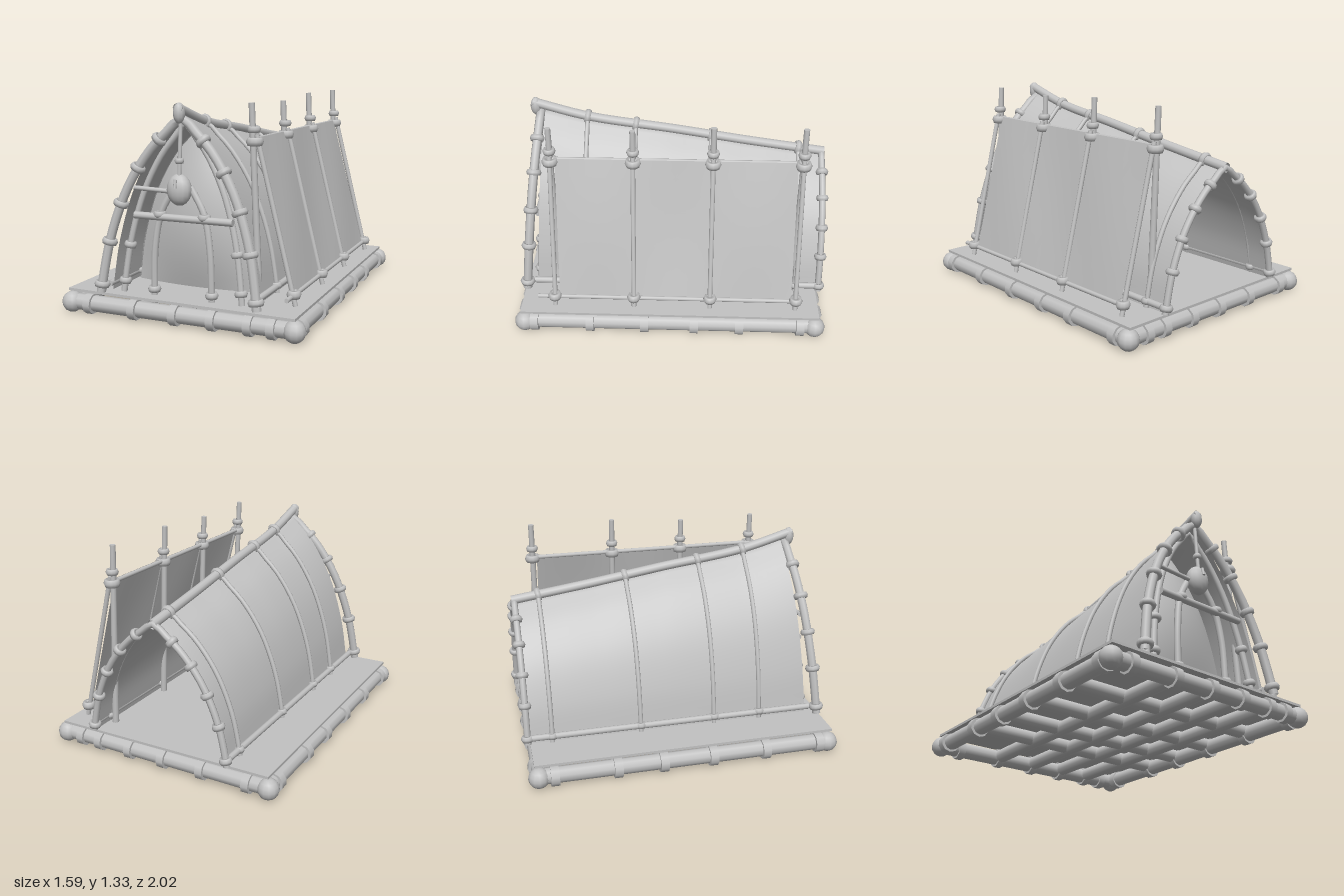
import * as THREE from 'three';

const V = (x, y, z) => new THREE.Vector3(x, y, z);
const wood = new THREE.MeshStandardMaterial({ color: 0xc2c2c2, side: THREE.DoubleSide });
wood.name = 'weathered grey';

// Half outline of the tent, from ground edge to ridge: x half width, y as share of height
const outline = new THREE.CatmullRomCurve3([
  V(0.5, 0, 0), V(0.45, 0.29, 0), V(0.34, 0.6, 0), V(0.18, 0.84, 0), V(0, 1, 0)]);
const ridge = new THREE.CatmullRomCurve3([
  V(0, 1.28, 0.9), V(0, 1.18, 0.54), V(0, 1.1, 0), V(0, 1.02, -0.5), V(0, 0.95, -0.99)]);
const ridgePts = ridge.getPoints(60);
const FLOOR = 0.16;

function ridgeY(z) {
  const i = ridgePts.findIndex(p => p.z <= z);
  return i < 0 ? 0.95 : ridgePts[i].y;
}
// Point on a tent section: t from -1 (right edge) through 0 (ridge) to 1 (left edge)
function section(t, z, top, scale, lean = 0) {
  const p = outline.getPoint(1 - Math.abs(t));
  return V(Math.sign(t) * p.x * scale, FLOOR + p.y * (top - FLOOR), z + lean * (1 - p.y));
}

export function createModel() {
  const model = new THREE.Group();

  function add(name, geo, parent = model) {
    const m = new THREE.Mesh(geo, wood);
    m.name = name;
    parent.add(m);
    return m;
  }
  function group(name) {
    const g = new THREE.Group();
    g.name = name;
    model.add(g);
    return g;
  }
  // Straight round bar between two points
  function bar(name, a, b, r, parent, r2 = r) {
    const m = add(name, new THREE.CylinderGeometry(r2, r, a.distanceTo(b), 10), parent);
    m.position.copy(a).lerp(b, 0.5);
    m.quaternion.setFromUnitVectors(V(0, 1, 0), b.clone().sub(a).normalize());
  }
  // Bent pole through points
  function pole(name, pts, r, parent) {
    const c = new THREE.CatmullRomCurve3(pts);
    add(name, new THREE.TubeGeometry(c, 36, r, 8), parent);
    return c;
  }
  // Rope binding around a pole
  function binding(pos, dir, r, parent, thick = 0.014) {
    const m = add('ropeBinding', new THREE.TorusGeometry(r, thick, 6, 12), parent);
    m.position.copy(pos);
    m.quaternion.setFromUnitVectors(V(0, 0, 1), dir.clone().normalize());
    m.scale.z = 1.5;
  }
  function log(a, b, r, parent) {
    bar('log', a, b, r, parent);
    for (const p of [a, b]) add('logEnd', new THREE.SphereGeometry(r, 12, 8), parent).position.copy(p);
  }
  function cuff(x, z, alongX, parent) {
    const d = alongX ? V(0.024, 0, 0) : V(0, 0, 0.026);
    const c = V(x, 0.068, z);
    bar('logBinding', c.clone().sub(d), c.clone().add(d), 0.064, parent);
  }

  // Raft frame: outer logs, inner lattice and bindings
  const raft = group('raftFrame');
  const xs = [-0.6, -0.29, -0.015, 0.23, 0.46, 0.6];
  const zs = [-0.84, -0.45, -0.16, 0.16, 0.51, 0.87];
  for (const s of [-1, 1]) {
    log(V(0.72 * s, 0.07, -0.93), V(0.72 * s, 0.07, 0.93), 0.051, raft);
    log(V(-0.73, 0.07, 0.925 * s), V(0.73, 0.07, 0.925 * s), 0.051, raft);
    for (const x of xs) cuff(x, 0.93 * s, true, raft);
    for (const z of zs) cuff(0.725 * s, z, false, raft);
    // Knotted corners where the outer logs cross
    for (const e of [-1, 1]) {
      const knot = add('cornerKnot', new THREE.SphereGeometry(0.066, 12, 8), raft);
      knot.position.set(0.73 * s, 0.068, 0.935 * e);
    }
  }
  for (const x of xs.slice(1, 5)) bar('longBeam', V(x, 0.075, -0.92), V(x, 0.075, 0.92), 0.046, raft);
  for (const z of zs.slice(1, 5)) bar('crossBeam', V(-0.71, 0.085, z), V(0.71, 0.085, z), 0.046, raft);

  // Deck boards, slightly higher on the right side
  const deck = add('deck', new THREE.BoxGeometry(1.48, 0.016, 1.92));
  deck.position.set(0, 0.146, 0);
  deck.rotation.z = -0.008;

  // Canvas roof draped over the ribs
  const roofGeo = new THREE.PlaneGeometry(1, 1, 40, 24);
  const rp = roofGeo.attributes.position;
  for (let i = 0; i < rp.count; i++) {
    const t = rp.getX(i) * 2, v = rp.getY(i) + 0.5;
    const z = -0.96 + v * 1.78;
    const p = section(t, z, ridgeY(z) - 0.01, 0.94, 0.06 * v * v);
    rp.setXYZ(i, p.x, p.y, p.z);
  }
  roofGeo.computeVertexNormals();
  add('canvasRoof', roofGeo);

  // Billowing curtain behind the entrance
  const wallGeo = new THREE.PlaneGeometry(1, 1, 16, 16);
  const wp = wallGeo.attributes.position;
  for (let i = 0; i < wp.count; i++) {
    const u = wp.getX(i) * 2, h = wp.getY(i) + 0.5;
    const p = section(1 - h, 0.58, 1.16, 0.9);
    wp.setXYZ(i, p.x * u, p.y, p.z + 0.13 * (1 - u * u) * Math.sin(Math.PI * Math.min(1, p.y / 1.16)));
  }
  wallGeo.computeVertexNormals();
  add('entranceCurtain', wallGeo);

  // Ridge pole and ground rails
  const frame = group('tentFrame');
  add('ridgePole', new THREE.TubeGeometry(ridge, 30, 0.03, 10), frame);
  const tip = add('ridgeTip', new THREE.SphereGeometry(0.036, 10, 8), frame);
  tip.position.set(0, 1.25, 0.88);
  tip.scale.y = 1.7;
  for (const s of [-1, 1])
    bar('groundRail', V(0.48 * s, 0.2, -0.98), V(0.48 * s, 0.2, 0.9), 0.02, frame);

  // Hoops: z, radius, lean at the foot, width, binding positions
  function hoop(name, z, top, r, lean, scale, ties) {
    const pts = [];
    for (let i = 0; i <= 16; i++) pts.push(section(i / 8 - 1, z, top, scale, lean));
    const c = pole(name, pts, r, frame);
    for (const t of ties) binding(c.getPointAt(t), c.getTangentAt(t), r + 0.006, frame);
  }
  const spread = [0.02, 0.13, 0.23, 0.33, 0.42, 0.58, 0.67, 0.77, 0.87, 0.98];
  hoop('frontArch', 0.85, 1.22, 0.029, 0.1, 1.02, spread);
  hoop('innerFrontArch', 0.8, 1.18, 0.02, 0.08, 0.78, [0.03, 0.13, 0.87, 0.97]);
  hoop('backArch', -0.975, 0.95, 0.021, 0, 0.96, spread);
  for (const z of [-0.82, -0.25, 0.24, 0.55]) {
    hoop('rib', z, ridgeY(z) + 0.005, 0.015, 0, 0.965, [0.02, 0.98]);
    binding(V(0, ridgeY(z), z), V(0, 0.2, 1), 0.034, frame);
  }

  // Doorway: curved posts and crossbars
  const door = group('doorway');
  for (const s of [-1, 1]) {
    pole('doorPost', [V(0.19 * s, 0.15, 0.86), V(0.18 * s, 0.45, 0.86), V(0.14 * s, 0.66, 0.85), V(0.05 * s, 0.82, 0.84)], 0.021, door);
    for (const [x, y] of [[0.19, 0.19], [0.145, 0.65]])
      binding(V(x * s, y, 0.86), V(0, 1, 0), 0.026, door);
  }
  bar('crossbar', V(-0.31, 0.635, 0.87), V(0.33, 0.635, 0.87), 0.022, door);
  bar('lampArm', V(-0.31, 0.8, 0.87), V(-0.02, 0.79, 0.87), 0.014, door);

  // Hanging lamp
  const lamp = group('hangingLamp');
  bar('lampCord', V(-0.005, 0.85, 0.88), V(0, 1.22, 0.86), 0.012, lamp);
  const body = add('lampBody', new THREE.SphereGeometry(0.077, 14, 10), lamp);
  body.position.set(-0.01, 0.805, 0.87);
  body.scale.set(1, 1.22, 0.75);
  binding(V(-0.005, 0.975, 0.874), V(0, 1, 0), 0.016, lamp, 0.012);
  bar('lampSlot', V(-0.01, 0.82, 0.927), V(-0.01, 0.87, 0.917), 0.01, lamp);

  // Slanted screen on the left side
  const screen = group('sideScreen');
  for (const [z, top] of [[0.74, 1.31], [0.23, 1.3], [-0.26, 1.33], [-0.81, 1.33]]) {
    bar('screenPost', V(0.44, 0.14, z), V(0.39, top, z), 0.022, screen, 0.018);
    bar('screenBrace', V(0.665, 0.15, z), V(0.42, 1.13, z), 0.015, screen);
    binding(V(0.41, 1.09, z), V(0, 1, 0), 0.034, screen, 0.018);
    binding(V(0.405, 1.16, z), V(0, 1, 0), 0.026, screen, 0.014);
    binding(V(0.655, 0.22, z), V(0, 1, 0), 0.026, screen, 0.018);
  }
  bar('topRail', V(0.4, 1.1, -0.83), V(0.4, 1.1, 0.76), 0.014, screen);
  bar('footRail', V(0.65, 0.21, -0.83), V(0.65, 0.21, 0.85), 0.014, screen);
  const clothGeo = new THREE.PlaneGeometry(1, 1, 24, 8);
  const cp = clothGeo.attributes.position;
  for (let i = 0; i < cp.count; i++) {
    const u = cp.getX(i) + 0.5, v = cp.getY(i) + 0.5;
    const sag = 0.012 * Math.sin(u * Math.PI * 3) * Math.sin(v * Math.PI);
    cp.setXYZ(i, 0.645 - 0.232 * v + sag, 0.22 + 0.89 * v, 0.71 - 1.49 * u);
  }
  clothGeo.computeVertexNormals();
  add('screenCloth', clothGeo, screen);

  return model;
}
